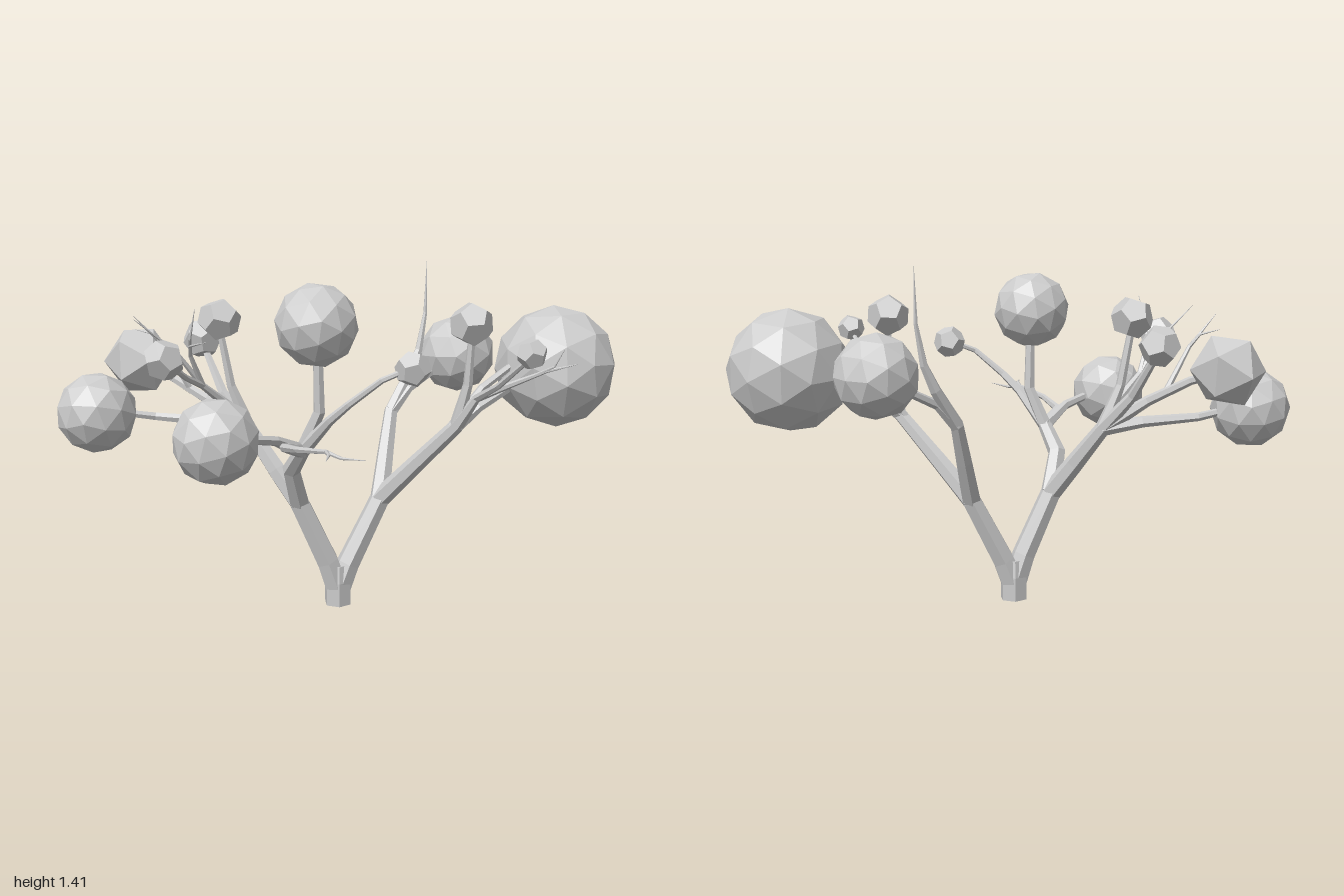
import * as THREE from 'three';

const material = new THREE.MeshStandardMaterial({ color: 0xcccccc, flatShading: true });

// Tapered hexagonal tube through points [x, y, z, radius], capped at both ends
function branchGeometry(points, sides = 6) {
  const centres = points.map(p => new THREE.Vector3(p[0], p[1], p[2]));
  const last = centres.length - 1;
  const turn = new THREE.Quaternion();
  const direction = new THREE.Vector3(0, 1, 0);
  const positions = [], index = [];
  centres.forEach((c, i) => {
    const next = centres[Math.min(i + 1, last)].clone()
      .sub(centres[Math.max(i - 1, 0)]).normalize();
    turn.premultiply(new THREE.Quaternion().setFromUnitVectors(direction, next));
    direction.copy(next);
    for (let s = 0; s < sides; s++) {
      const a = (s / sides) * Math.PI * 2;
      const v = new THREE.Vector3(Math.cos(a), 0, Math.sin(a))
        .multiplyScalar(points[i][3]).applyQuaternion(turn).add(c);
      positions.push(v.x, v.y, v.z);
    }
  });
  for (let i = 0; i < last; i++) {
    for (let s = 0; s < sides; s++) {
      const a = i * sides + s, b = i * sides + (s + 1) % sides;
      index.push(a, a + sides, b, b, a + sides, b + sides);
    }
  }
  const top = last * sides;
  for (let s = 1; s < sides - 1; s++) {
    index.push(0, s, s + 1, top, top + s + 1, top + s);
  }
  const g = new THREE.BufferGeometry();
  g.setAttribute('position', new THREE.Float32BufferAttribute(positions, 3));
  g.setIndex(index);
  const flat = g.toNonIndexed();
  flat.computeVertexNormals();
  return flat;
}

// Shared fork points
const FOOT = [-0.057, 0.06, 0, 0.054];
const R1 = [0.12, 0.44, 0.06, 0.043];
const RA = [0.27, 0.78, -0.05, 0.03];
const RB = [0.27, 0.78, 0.36, 0.03];
const RC = [0.3, 0.9, 0.44, 0.017];
const L1 = [-0.21, 0.45, -0.06, 0.044];
const LF = [-0.31, 0.71, 0.1, 0.03];
const LB = [-0.31, 0.74, -0.27, 0.032];
const LT = [-0.55, 0.95, -0.24, 0.014];
const LS = [-0.54, 0.82, 0.56, 0.009];

const branches = {
  trunk: [[-0.057, 0, 0, 0.058], [-0.057, 0.1, 0, 0.058], [-0.057, 0.17, 0, 0.045]],
  leftLimb: [FOOT, [-0.015, 0.17, 0.015, 0.05], R1],
  leftBackBranch: [R1, [0.2, 0.62, 0, 0.036], RA, [0.38, 0.93, -0.06, 0.024],
    [0.43, 1.03, -0.055, 0.017], [0.465, 1.19, -0.055, 0.009], [0.475, 1.41, -0.06, 0.001]],
  leftBackFork: [RA, [0.36, 0.87, -0.04, 0.02], [0.58, 0.97, -0.04, 0.016]],
  leftFrontBranch: [R1, [0.19, 0.6, 0.2, 0.037], RB, RC],
  leftFrontFork: [RB, [0.36, 0.85, 0.39, 0.022], [0.6, 0.95, 0.41, 0.018]],
  leftFrontLowerFork: [[0.26, 0.77, 0.34, 0.022], [0.37, 0.93, 0.4, 0.017], [0.58, 1.04, 0.42, 0.014]],
  leftUprightTwig: [RB, [0.29, 0.95, 0.4, 0.02], [0.29, 1.17, 0.42, 0.014]],
  leftForwardTwig: [RC, [0.28, 0.97, 0.58, 0.013], [0.25, 1.1, 0.77, 0.009]],
  leftBareTwig: [RC, [0.36, 0.97, 0.58, 0.012], [0.42, 1.03, 0.7, 0.007], [0.49, 1.06, 0.79, 0.001]],
  leftBareTwigTip: [[0.39, 1.0, 0.64, 0.007], [0.43, 1.05, 0.73, 0.004], [0.44, 1.12, 0.77, 0.001]],
  rightLimb: [FOOT, [-0.1, 0.19, -0.015, 0.05], L1],
  rightFrontBranch: [L1, [-0.285, 0.61, -0.01, 0.038], LF],
  rightFrontUpright: [LF, [-0.27, 0.87, 0.16, 0.024], [-0.28, 1.12, 0.165, 0.02]],
  rightForwardTwig: [LF, [-0.28, 0.85, 0.24, 0.019], [-0.25, 0.92, 0.32, 0.015],
    [-0.18, 1.02, 0.43, 0.012], [-0.09, 1.06, 0.48, 0.01]],
  rightSideFork: [LF, [-0.47, 0.78, 0.15, 0.02], [-0.68, 0.82, 0.19, 0.016]],
  rightBareTwig: [LF, [-0.46, 0.76, 0.19, 0.018], [-0.52, 0.79, 0.36, 0.013], LS,
    [-0.535, 0.81, 0.64, 0.006], [-0.515, 0.82, 0.75, 0.001]],
  rightBareTwigTip: [LS, [-0.59, 0.83, 0.64, 0.006], [-0.655, 0.83, 0.71, 0.001]],
  rightBackBranch: [L1, [-0.26, 0.58, -0.15, 0.04], LB],
  rightBackUpright: [LB, [-0.37, 0.92, -0.31, 0.02], [-0.405, 1.16, -0.335, 0.015]],
  rightBackCentreFork: [LB, [-0.36, 0.88, -0.39, 0.022], [-0.365, 1.07, -0.53, 0.014]],
  rightBackUpperFork: [LB, [-0.43, 0.86, -0.41, 0.022], [-0.52, 0.95, -0.56, 0.018], [-0.57, 0.99, -0.69, 0.015]],
  rightBackLowerFork: [LB, [-0.43, 0.77, -0.38, 0.024], [-0.61, 0.79, -0.52, 0.018], [-0.77, 0.82, -0.58, 0.015]],
  rightBackBareTwig: [[-0.47, 0.9, -0.47, 0.014], [-0.57, 1.08, -0.5, 0.009], [-0.69, 1.21, -0.53, 0.001]],
  rightBackBareTwigTip: [[-0.57, 1.08, -0.5, 0.008], [-0.6, 1.13, -0.53, 0.005], [-0.66, 1.15, -0.58, 0.001]],
  rightOuterTwig: [LB, [-0.42, 0.85, -0.25, 0.02], LT, [-0.67, 1.1, -0.245, 0.008], [-0.83, 1.23, -0.27, 0.001]],
  rightOuterTwigTip: [LT, [-0.62, 1.08, -0.21, 0.009], [-0.65, 1.15, -0.16, 0.006], [-0.65, 1.27, -0.12, 0.001]],
  rightOuterSmallTip: [[-0.64, 1.12, -0.18, 0.006], [-0.67, 1.14, -0.08, 0.004], [-0.69, 1.16, 0.02, 0.001]],
  rightOuterFork: [LT, [-0.66, 1.0, -0.18, 0.012], [-0.8, 1.08, -0.08, 0.009]],
};

// Foliage balls: [x, y, z, radius]
const largeFoliage = [
  [0.74, 0.99, 0.45, 0.253],
  [0.63, 1.0, -0.03, 0.167],
  [-0.285, 1.21, 0.165, 0.163],
  [-0.755, 0.82, 0.18, 0.163],
  [-0.835, 0.82, -0.6, 0.165],
];
const mediumFoliage = [[-0.57, 1.0, -0.71, 0.152]];
const smallFoliage = [
  [-0.405, 1.195, -0.335, 0.09],
  [-0.365, 1.095, -0.535, 0.085],
  [-0.815, 1.095, -0.075, 0.08],
  [-0.08, 1.06, 0.49, 0.07],
  [0.285, 1.195, 0.42, 0.09],
  [0.25, 1.12, 0.78, 0.06],
];

export function createModel() {
  const tree = new THREE.Group();
  tree.name = 'tree';

  const wood = new THREE.Group();
  wood.name = 'branches';
  for (const [name, points] of Object.entries(branches)) {
    const mesh = new THREE.Mesh(branchGeometry(points), material);
    mesh.name = name;
    wood.add(mesh);
  }

  const foliage = new THREE.Group();
  foliage.name = 'foliage';
  const addBalls = (list, name, geometry) => list.forEach(([x, y, z, r], i) => {
    const mesh = new THREE.Mesh(geometry, material);
    mesh.name = `${name}${i + 1}`;
    mesh.position.set(x, y, z);
    mesh.scale.setScalar(r);
    mesh.rotation.set(0.4 + i * 1.3, i * 2.1, 0.3 + i * 0.7);
    foliage.add(mesh);
  });
  addBalls(largeFoliage, 'largeFoliage', new THREE.IcosahedronGeometry(1, 1));
  addBalls(mediumFoliage, 'mediumFoliage', new THREE.IcosahedronGeometry(1, 0));
  addBalls(smallFoliage, 'smallFoliage', new THREE.DodecahedronGeometry(1, 0));

  tree.add(wood, foliage);
  return tree;
}
